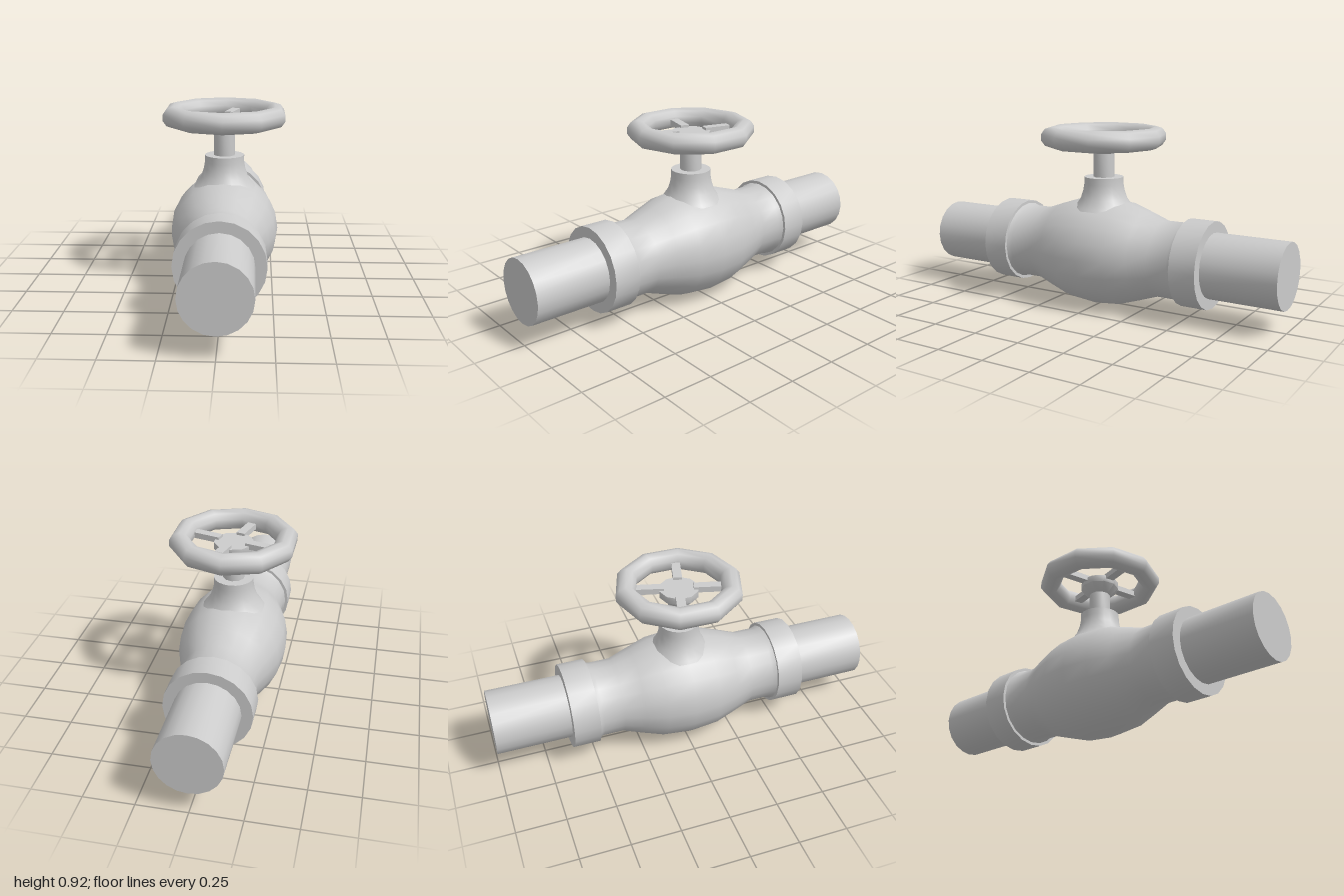
import * as THREE from 'three';
import { toCreasedNormals } from 'three/addons/utils/BufferGeometryUtils.js';

const AXIS_Y = 0.28;
const material = new THREE.MeshStandardMaterial({ color: 0xcccccc });

// Turned part from [radius, height] points, with only sharp edges creased
function turned(name, points, sides) {
  const profile = points.map(([r, h]) => new THREE.Vector2(r, h));
  const geometry = toCreasedNormals(new THREE.LatheGeometry(profile, sides), 0.9);
  const mesh = new THREE.Mesh(geometry, material);
  mesh.name = name;
  return mesh;
}

export function createModel() {
  const model = new THREE.Group();
  model.name = 'pipeValve';

  // Horizontal parts, turned around the pipe axis
  const pipeline = new THREE.Group();
  pipeline.name = 'pipeline';
  pipeline.position.y = AXIS_Y;
  pipeline.rotation.x = Math.PI / 2;
  model.add(pipeline);

  // Swollen valve body, symmetric about its middle
  const half = [[0.205, 0.49], [0.193, 0.46], [0.193, 0.35], [0.228, 0.25], [0.264, 0.14]];
  const lower = half.map(([r, h]) => [r, -h]);
  pipeline.add(turned('valveBody', [...lower, [0.277, 0], ...half.reverse()], 20));

  // Collar and pipe stub at each end
  for (const [side, rotation] of [['front', 0], ['back', Math.PI]]) {
    const end = new THREE.Group();
    end.name = side + 'End';
    end.rotation.x = rotation;
    end.add(turned(side + 'Collar', [[0.15, 0.485], [0.218, 0.485], [0.218, 0.62], [0.15, 0.62]], 20));
    end.add(turned(side + 'Pipe', [[0.163, 0.6], [0.163, 1], [0, 1]], 20));
    pipeline.add(end);
  }

  // Bonnet flaring down into the body, and the stem
  model.add(turned('bonnet', [
    [0.225, 0.425], [0.185, 0.475], [0.148, 0.518], [0.12, 0.56],
    [0.107, 0.6], [0.101, 0.635], [0.101, 0.67], [0, 0.67],
  ], 20));
  model.add(turned('stem', [[0.055, 0.6], [0.055, 0.81]], 10));

  // Handwheel: ten-sided rim, hub and four spokes
  const wheel = new THREE.Group();
  wheel.name = 'handwheel';
  wheel.position.y = 0.873;
  model.add(wheel);

  const rim = [];
  for (let i = 0; i <= 10; i++) {
    const a = ((i % 10) * 36 + 18) * Math.PI / 180;
    rim.push([0.269 + 0.0535 * Math.cos(a), 0.0535 * Math.sin(a)]);
  }
  wheel.add(turned('rim', rim, 10));
  wheel.add(turned('hub', [[0.054, -0.083], [0.1, -0.042], [0.1, -0.006], [0, -0.006]], 10));

  const spokeGeometry = new THREE.BoxGeometry(0.17, 0.03, 0.045);
  spokeGeometry.translate(0.158, -0.008, 0);
  for (let i = 0; i < 4; i++) {
    const spoke = new THREE.Mesh(spokeGeometry, material);
    spoke.name = 'spoke' + (i + 1);
    spoke.rotation.y = -0.26 + i * Math.PI / 2;
    wheel.add(spoke);
  }

  return model;
}
